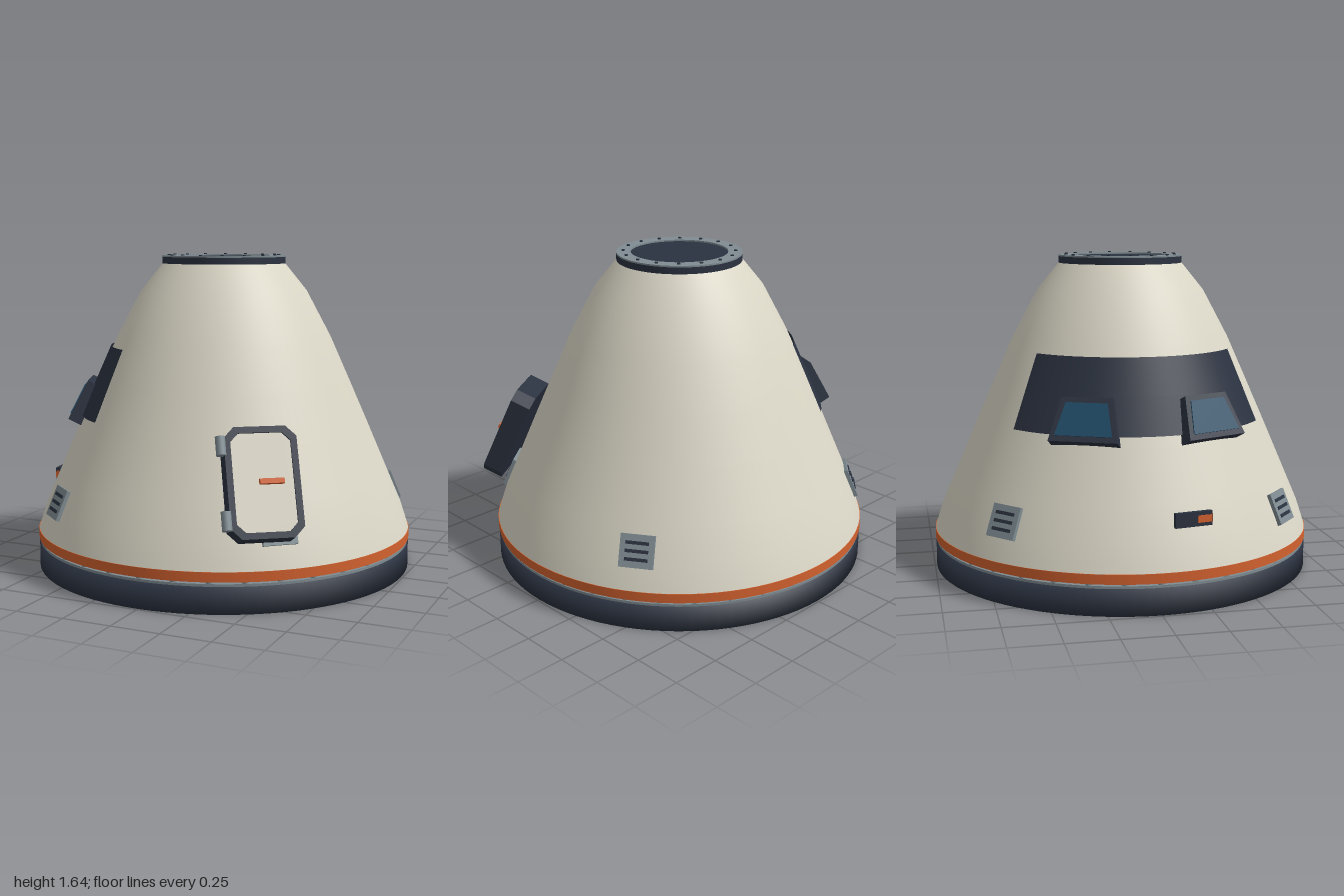
import * as THREE from 'three';
import { toCreasedNormals } from 'three/addons/utils/BufferGeometryUtils.js';

const rad = THREE.MathUtils.degToRad;
const paint = (name, color, side = THREE.FrontSide) => {
  const m = new THREE.MeshStandardMaterial({ color, side });
  m.name = name;
  return m;
};

export function createModel() {
  const cream = paint('cream hull', 0xdad6c6);
  const dark = paint('dark navy', 0x2b3240);
  const darkSheet = dark.clone();
  darkSheet.side = THREE.DoubleSide;
  const grey = paint('steel grey', 0x7f8c92);
  const orange = paint('orange', 0xd4622f);
  const glass = paint('blue glass', 0x1f4b66);

  const model = new THREE.Group();
  model.name = 'capsule';

  const add = (parent, name, geometry, material, x = 0, y = 0, z = 0) => {
    const mesh = new THREE.Mesh(geometry, material);
    mesh.name = name;
    mesh.position.set(x, y, z);
    parent.add(mesh);
    return mesh;
  };
  const vec = (pts) => pts.map(([x, y]) => new THREE.Vector2(x, y));
  const lathe = (pts, start = 0, length = Math.PI * 2) =>
    new THREE.LatheGeometry(vec(pts), 96, start, length);
  const sharpLathe = (pts) => toCreasedNormals(lathe(pts), 0.6);

  // Hull profile, and the hull radius at any height
  const profile = [[0.99, 0.2], [0.947, 0.33], [0.878, 0.49], [0.766, 0.75],
    [0.665, 0.98], [0.564, 1.207], [0.436, 1.447], [0.32, 1.59]];
  const hullRadius = (y) => {
    for (let i = 1; i < profile.length; i++) {
      const [r0, y0] = profile[i - 1], [r1, y1] = profile[i];
      if (y <= y1) return r0 + (r1 - r0) * (y - y0) / (y1 - y0);
    }
    return 0.32;
  };

  // Group lying on the hull: +z points outwards, +y runs up the slope
  const mount = (name, azimuth, y, tilt, lift = 0) => {
    const g = new THREE.Group();
    const a = rad(azimuth), r = hullRadius(y) + lift;
    g.name = name;
    g.position.set(r * Math.sin(a), y, r * Math.cos(a));
    g.rotation.set(-rad(tilt), a, 0, 'YXZ');
    model.add(g);
    return g;
  };

  // Flat plate cut from an outline
  const plate = (pts, depth) =>
    new THREE.ExtrudeGeometry(new THREE.Shape(vec(pts)), { depth, bevelEnabled: false });
  const chamfered = (w, h, c) => {
    const x = w / 2, y = h / 2;
    return [[-x + c, -y], [x - c, -y], [x, -y + c], [x, y - c],
      [x - c, y], [-x + c, y], [-x, y - c], [-x, -y + c]];
  };
  const trapezoid = (bottom, top, h) =>
    [[-bottom / 2, -h / 2], [bottom / 2, -h / 2], [top / 2, h / 2], [-top / 2, h / 2]];

  // Hull, base stripe and floor
  add(model, 'hull', lathe(profile), cream);
  add(model, 'baseStripe', sharpLathe([[0.96, 0.155], [0.992, 0.155], [0.992, 0.203], [0.98, 0.203]]), orange);
  add(model, 'floor', new THREE.CircleGeometry(0.985, 96), darkSheet, 0, 0.157, 0).rotation.x = Math.PI / 2;

  // Heat shield ring, its steel liner and the spacers that carry the hull
  add(model, 'heatShield', lathe([[0.81, 0], [0.99, 0], [0.99, 0.132], [0.81, 0.132], [0.81, 0]]), dark);
  add(model, 'shieldLiner', sharpLathe([[0.8, 0.1], [0.83, 0.13], [0.985, 0.13],
    [0.985, 0.145], [0.8, 0.145], [0.8, 0.1]]), grey);
  const ringOf = (name, count, radius, y, geometry, material) => {
    const g = new THREE.Group();
    g.name = name;
    for (let i = 0; i < count; i++) {
      const a = i / count * Math.PI * 2;
      add(g, name + 'Piece', geometry, material, radius * Math.sin(a), y, radius * Math.cos(a));
    }
    model.add(g);
  };
  ringOf('spacers', 36, 0.965, 0.15, new THREE.CylinderGeometry(0.018, 0.018, 0.014, 8), grey);

  // Docking collar at the top
  add(model, 'collar', sharpLathe([[0.3, 1.588], [0.323, 1.588], [0.323, 1.622]]), dark);
  add(model, 'collarFlange', sharpLathe([[0.323, 1.622], [0.323, 1.63], [0.25, 1.63], [0.25, 1.618]]), grey);
  add(model, 'dockingHatch', new THREE.CircleGeometry(0.252, 64), dark, 0, 1.622, 0).rotation.x = -Math.PI / 2;
  ringOf('collarBolts', 16, 0.288, 1.632, new THREE.CylinderGeometry(0.009, 0.009, 0.007, 8), dark);

  // Dark band wrapped behind the windows
  const band = [0.8, 0.98, 1.16].map((y) => [hullRadius(y) + 0.012, y]);
  add(model, 'windowBand', lathe(band, rad(-145), rad(110)), darkSheet);

  // Pair of side windows
  for (const side of [-1, 1]) {
    const w = mount('window', -90 + side * 24, 0.86, 27);
    add(w, 'windowFrame', plate(trapezoid(0.34, 0.25, 0.22), 0.075), dark, 0, 0, -0.025);
    add(w, 'windowGlass', plate(trapezoid(0.28, 0.205, 0.165), 0.006), glass, 0, 0, 0.05);
  }

  // Crew hatch with hinges and handle
  const hatch = mount('crewHatch', 35, 0.567, 24.5, 0.01);
  const rim = new THREE.Shape(vec(chamfered(0.345, 0.525, 0.05)));
  rim.holes.push(new THREE.Path(vec(chamfered(0.285, 0.465, 0.04))));
  add(hatch, 'hatchRim', new THREE.ExtrudeGeometry(rim, { depth: 0.03, bevelEnabled: false }), dark, 0, 0, 0.1);
  add(hatch, 'hatchBase', plate(chamfered(0.345, 0.525, 0.05), 0.08), dark, 0, 0, 0.02);
  add(hatch, 'hatchPanel', plate(chamfered(0.285, 0.465, 0.04), 0.02), cream, 0, 0, 0.1);
  add(hatch, 'hatchHandle', new THREE.BoxGeometry(0.115, 0.024, 0.025), orange, 0.035, 0, 0.138);
  for (const y of [-0.175, 0.175]) {
    add(hatch, 'hatchHinge', new THREE.CylinderGeometry(0.024, 0.024, 0.09, 16), grey, -0.188, y, 0.125);
  }

  // Four slotted vents
  for (const azimuth of [-138, -41, 40, 123]) {
    const v = mount('vent', azimuth, 0.385, 23.3);
    add(v, 'ventPlate', new THREE.BoxGeometry(0.17, 0.16, 0.03), grey);
    for (const y of [-0.04, 0, 0.04]) {
      add(v, 'ventSlot', new THREE.BoxGeometry(0.115, 0.016, 0.006), dark, 0, y, 0.016);
    }
  }

  // Small side marker
  const marker = mount('sideMarker', -79.5, 0.43, 0, 0.015);
  add(marker, 'markerPlate', new THREE.BoxGeometry(0.19, 0.07, 0.022), dark);
  add(marker, 'markerEnd', new THREE.BoxGeometry(0.006, 0.04, 0.018), orange, 0.096, 0, 0);
  add(marker, 'markerStrip', new THREE.BoxGeometry(0.07, 0.035, 0.004), orange, 0.055, 0, 0.012);

  return model;
}
